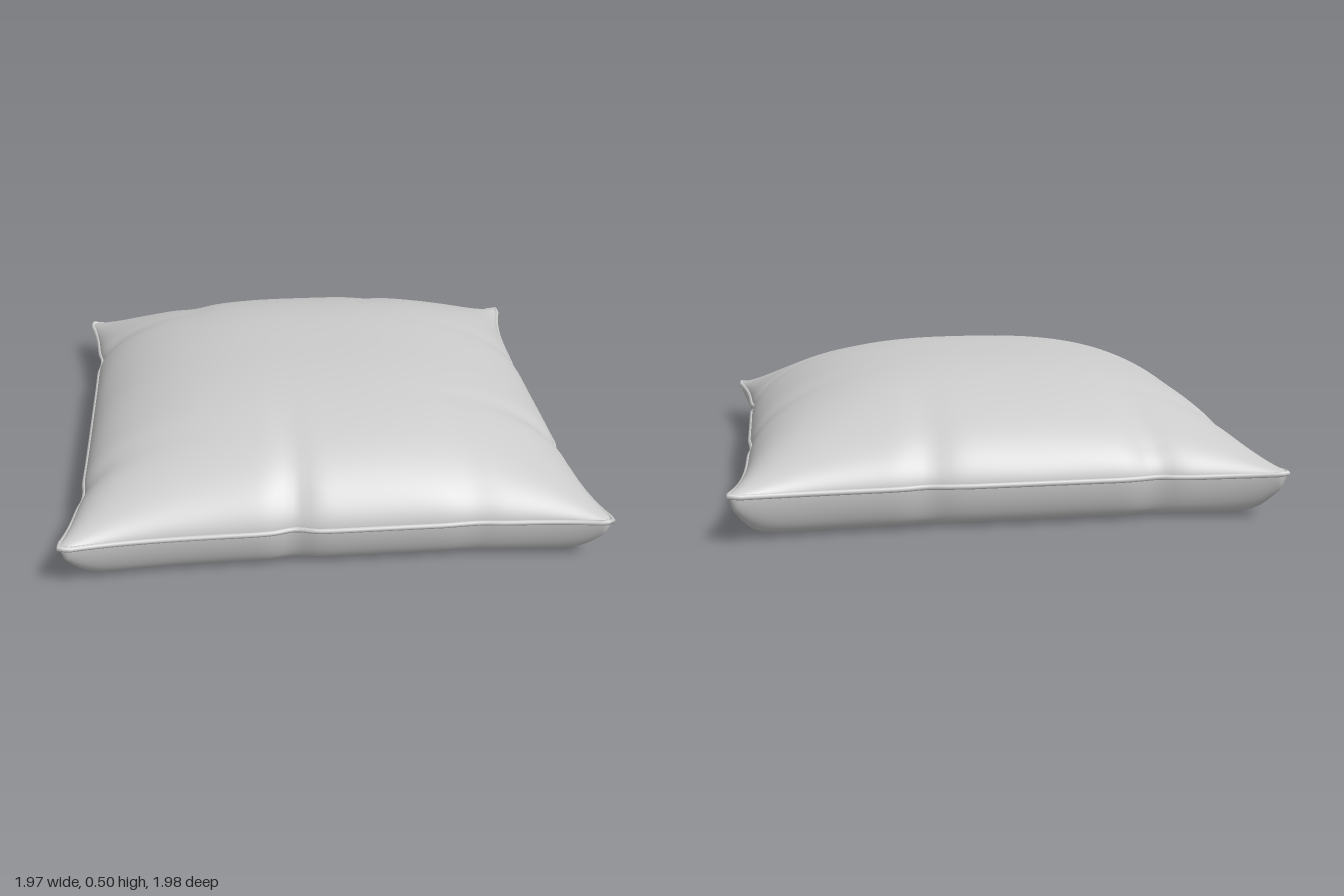
import * as THREE from 'three';

// Pinches along the seam: [axis pushed, side, position along the edge, depth, width]
const PINCHES = [
  ['x', -1, -0.56, 0.014, 0.06], ['x', -1, 0.62, 0.012, 0.07],
  ['x', 1, 0.46, 0.02, 0.05], ['x', 1, -0.28, 0.01, 0.07],
  ['z', -1, -0.52, 0.02, 0.07], ['z', -1, 0.3, 0.016, 0.07],
  ['z', 1, -0.16, 0.022, 0.06], ['z', 1, 0.5, 0.008, 0.07],
];

// Square (u, v) in -1..1 to the pinched cushion outline with pulled-out corners
function plan(u, v) {
  const a = Math.abs(u), b = Math.abs(v);
  const trim = Math.max(0, a + b - 1.95) * 0.35;
  let x = u * (0.92 + 0.075 * b ** 5) - Math.sign(u) * trim;
  let z = v * (0.925 + 0.07 * a ** 5) - Math.sign(v) * trim;
  let crease = 0;
  for (const [axis, side, at, depth, width] of PINCHES) {
    const across = (axis === 'x' ? u : v) * side, along = axis === 'x' ? v : u;
    if (across <= 0) continue;
    const k = depth * Math.exp(-(((along - at) / width) ** 2));
    if (axis === 'x') x -= side * k * across ** 8;
    else z -= side * k * across ** 8;
    crease += k * across ** 3;
  }
  return { x, z, crease };
}

const seamHeight = (u, v) => 0.162 + 0.016 * Math.abs(u * v) ** 6;

// Top: full dome falling to the seam, with shallow folds near the edges
function topHeight(u, v, crease) {
  const f = (t) => Math.max(0, 1 - Math.abs(t) ** 2.6) ** 0.6;
  const dome = f(u) * f(v);
  const fold = 0.004 * Math.sin(9 * u + 4 * v) * Math.sin(8 * v - 3 * u);
  const edge = Math.max(Math.abs(u), Math.abs(v)) ** 4;
  return seamHeight(u, v) + 0.333 * dome + (fold * edge - crease) * Math.min(1, dome * 3);
}

// Underside: shallow sloping walls down to a flat base
function bottomHeight(u, v) {
  const f = (t) => Math.max(0, 1 - Math.abs(t) ** 14) ** 0.6;
  const g = 1.3 * f(u) * f(v);
  const drop = g < 0.7 ? g : 1 - 0.3 * Math.max(0, (1.3 - g) / 0.6) ** 2;
  return seamHeight(u, v) * (1 - drop);
}

// Fabric panel: a grid, denser toward the edges, shaped by a height rule
function panel(name, material, facing, height) {
  const geo = new THREE.PlaneGeometry(2, 2, 96, 96).rotateX(-facing * Math.PI / 2);
  const pos = geo.attributes.position;
  for (let i = 0; i < pos.count; i++) {
    const u = Math.sin(pos.getX(i) * Math.PI / 2), v = Math.sin(pos.getZ(i) * Math.PI / 2);
    const p = plan(u, v);
    pos.setXYZ(i, p.x, height(u, v, p.crease), p.z);
  }
  geo.computeVertexNormals();
  const mesh = new THREE.Mesh(geo, material);
  mesh.name = name;
  return mesh;
}

// Thin piping following the outline
function seam(material) {
  const points = [], n = 40;
  for (let side = 0; side < 4; side++) {
    for (let i = 0; i < n; i++) {
      const t = Math.sin((i / n - 0.5) * Math.PI);
      const [u, v] = [[t, 1], [1, -t], [-t, -1], [-1, t]][side];
      const p = plan(u, v);
      points.push(new THREE.Vector3(p.x, seamHeight(u, v), p.z));
    }
  }
  const curve = new THREE.CatmullRomCurve3(points, true);
  const mesh = new THREE.Mesh(new THREE.TubeGeometry(curve, 400, 0.01, 8, true), material);
  mesh.name = 'seamPiping';
  return mesh;
}

export function createModel() {
  const group = new THREE.Group();
  group.name = 'cushion';
  const fabric = new THREE.MeshStandardMaterial({ color: 0xcccccc });
  group.add(
    panel('topPanel', fabric, 1, topHeight),
    panel('bottomPanel', fabric, -1, bottomHeight),
    seam(fabric),
  );
  return group;
}
